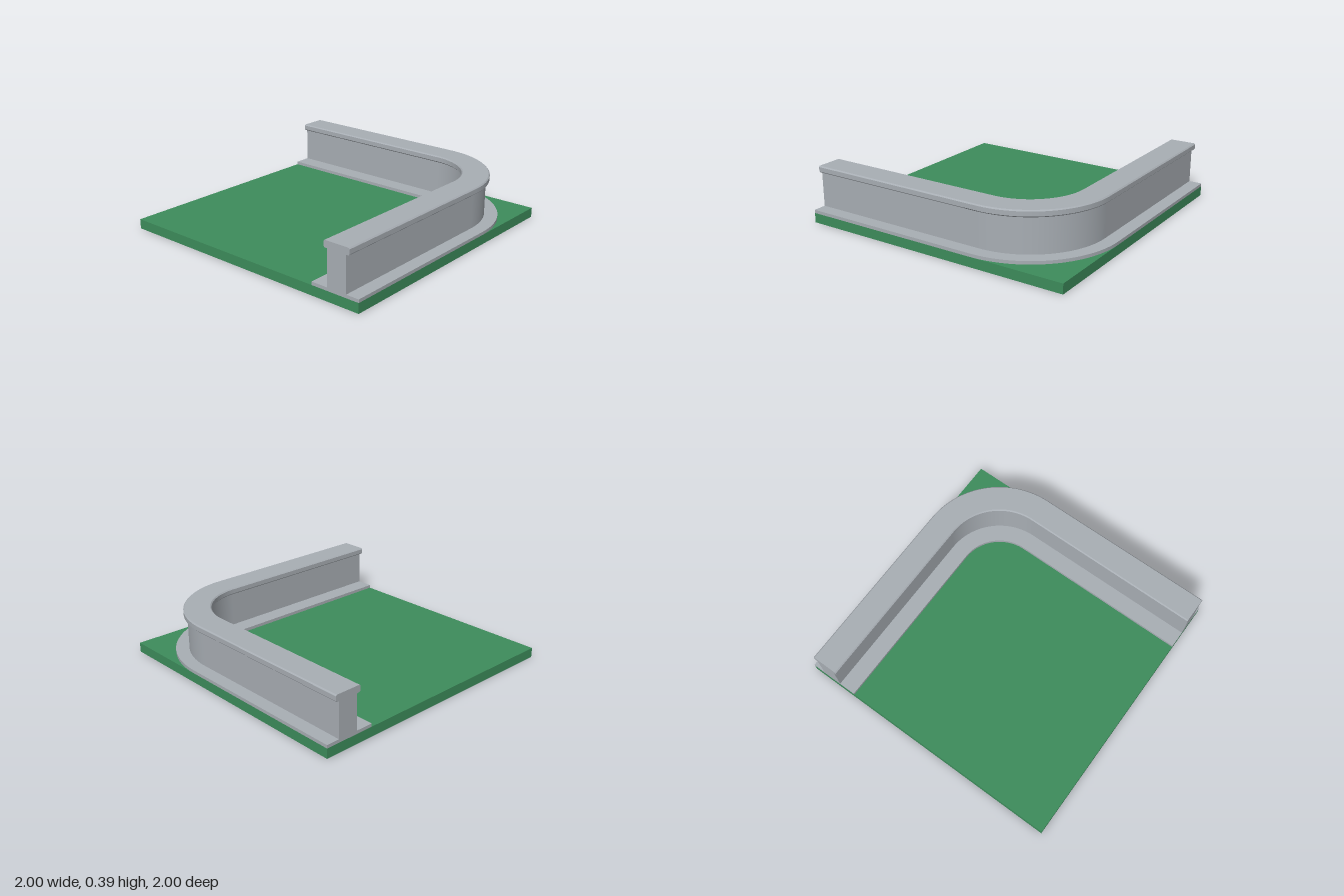
import * as THREE from 'three';

const BEND = 0.33; // bend centre is (BEND, -BEND); straights run to the tile edges
const ARC_STEPS = 32;

// Stations along the bend: direction angle plus the straight end points
function stations() {
  const list = [{ a: Math.PI / 2, start: true }];
  for (let i = 0; i <= ARC_STEPS; i++) list.push({ a: (Math.PI / 2) * (1 - i / ARC_STEPS) });
  list.push({ a: 0, end: true });
  return list;
}

// Sweep a counter-clockwise [distance, height] profile round the corner
function sweep(profile) {
  const pos = [], nor = [], idx = [];
  const path = stations();
  const place = (s, u, y) => {
    if (s.start) return [-1, y, -u];
    if (s.end) return [u, y, 1];
    return [BEND + Math.cos(s.a) * (u - BEND), y, -BEND - Math.sin(s.a) * (u - BEND)];
  };
  // Each profile edge is its own strip: sharp across, smooth along
  profile.forEach(([u0, y0], i) => {
    const [u1, y1] = profile[(i + 1) % profile.length];
    const len = Math.hypot(u1 - u0, y1 - y0);
    const nu = (y1 - y0) / len, ny = (u0 - u1) / len;
    path.forEach((s, j) => {
      const b = pos.length / 3;
      pos.push(...place(s, u0, y0), ...place(s, u1, y1));
      for (let k = 0; k < 2; k++) nor.push(nu * Math.cos(s.a), ny, -nu * Math.sin(s.a));
      if (j < path.length - 1) idx.push(b, b + 2, b + 1, b + 1, b + 2, b + 3);
    });
  });
  // Flat closed ends
  const tris = THREE.ShapeUtils.triangulateShape(profile.map(([u, y]) => new THREE.Vector2(u, y)), []);
  for (const s of [path[0], path[path.length - 1]]) {
    const b = pos.length / 3;
    for (const [u, y] of profile) {
      pos.push(...place(s, u, y));
      nor.push(s.start ? -1 : 0, 0, s.start ? 0 : 1);
    }
    for (const [p, q, r] of tris) idx.push(b + p, b + (s.start ? r : q), b + (s.start ? q : r));
  }
  const g = new THREE.BufferGeometry();
  g.setAttribute('position', new THREE.Float32BufferAttribute(pos, 3));
  g.setAttribute('normal', new THREE.Float32BufferAttribute(nor, 3));
  g.setIndex(idx);
  // Make every triangle face the way its normal points
  const v = [0, 1, 2].map(() => new THREE.Vector3()), n = new THREE.Vector3();
  for (let t = 0; t < idx.length; t += 3) {
    v.forEach((p, k) => p.fromBufferAttribute(g.attributes.position, idx[t + k]));
    n.fromBufferAttribute(g.attributes.normal, idx[t]);
    if (v[1].sub(v[0]).cross(v[2].sub(v[0])).dot(n) < 0) {
      const swap = g.index.getX(t + 1);
      g.index.setX(t + 1, g.index.getX(t + 2));
      g.index.setX(t + 2, swap);
    }
  }
  return g;
}

const band = (u0, u1, y0, y1) => [[u0, y0], [u1, y0], [u1, y1], [u0, y1]];

export function createModel() {
  const group = new THREE.Group();
  const grass = new THREE.MeshStandardMaterial({ color: 0x3d8c5b });
  grass.name = 'grass green';
  const stone = new THREE.MeshStandardMaterial({ color: 0xa8aeb4 });
  stone.name = 'stone grey';
  const add = (name, geometry, material) => {
    const mesh = new THREE.Mesh(geometry, material);
    mesh.name = name;
    group.add(mesh);
    return mesh;
  };

  // Square ground tile
  add('groundTile', new THREE.BoxGeometry(2, 0.07, 2), grass).position.y = 0.035;

  // Footing, wall and coping follow the same bend
  add('footing', sweep(band(0.635, 1, 0.07, 0.093)), stone);
  add('wall', sweep(band(0.76, 0.905, 0.093, 0.345)), stone);
  const c = 0.008; // softened coping edges
  add('coping', sweep([
    [0.733 + c, 0.345], [0.93 - c, 0.345], [0.93, 0.345 + c], [0.93, 0.393 - c],
    [0.93 - c, 0.393], [0.733 + c, 0.393], [0.733, 0.393 - c], [0.733, 0.345 + c],
  ]), stone);
  return group;
}
